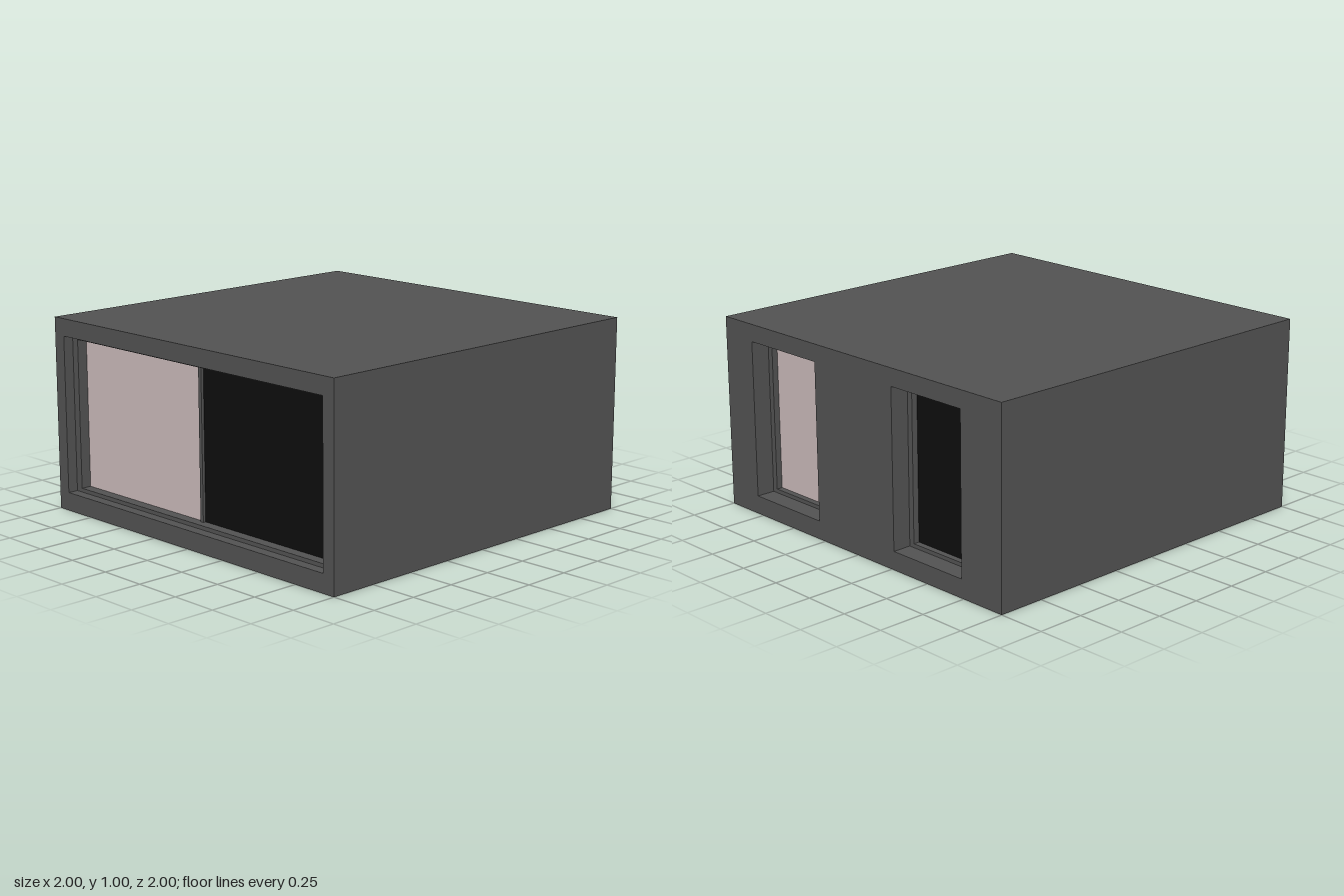
import * as THREE from 'three';

const wallGrey = new THREE.MeshStandardMaterial({ color: 0x525252 });
wallGrey.name = 'wall grey';
const palePink = new THREE.MeshStandardMaterial({ color: 0xc8b8b8 });
palePink.name = 'pale pink glass';
const black = new THREE.MeshStandardMaterial({ color: 0x0d0d0d });
black.name = 'black glass';

// Shared height of every opening
const BOTTOM = 0.095, TOP = 0.91;

function addMesh(parent, name, geometry, material) {
  const mesh = new THREE.Mesh(geometry, material);
  mesh.name = name;
  parent.add(mesh);
  return mesh;
}

// Box given by its limits on each axis
function block(parent, name, material, [x0, x1], [y0, y1], [z0, z1]) {
  const mesh = addMesh(parent, name, new THREE.BoxGeometry(x1 - x0, y1 - y0, z1 - z0), material);
  mesh.position.set((x0 + x1) / 2, (y0 + y1) / 2, (z0 + z1) / 2);
  return mesh;
}

function trace(path, x0, x1, y0, y1) {
  path.moveTo(x0, y0).lineTo(x1, y0).lineTo(x1, y1).lineTo(x0, y1).closePath();
  return path;
}

// Rectangular ring extruded from z0 to z1
function ring(parent, name, material, outer, inner, z0, z1) {
  const shape = trace(new THREE.Shape(), ...outer);
  shape.holes.push(trace(new THREE.Path(), ...inner));
  const geometry = new THREE.ExtrudeGeometry(shape, { depth: z1 - z0, bevelEnabled: false });
  geometry.translate(0, 0, z0);
  return addMesh(parent, name, geometry, material);
}

export function createModel() {
  const model = new THREE.Group();
  model.name = 'room';

  // Roof, floor and side walls as one open-ended shell
  ring(model, 'shell', wallGrey, [-1, 1, 0, 1], [-0.93, 0.93, BOTTOM, TOP], -1, 1);

  // Back wall piers, leaving two tall openings
  for (const x of [[-0.93, -0.735], [-0.265, 0.295], [0.79, 0.93]]) {
    block(model, 'backPier', wallGrey, x, [BOTTOM, TOP], [-1, -0.84]);
  }

  // Wide front window: recessed frame, mullion and two panes
  const front = new THREE.Group();
  front.name = 'frontWindow';
  model.add(front);
  const glassY = [0.115, 0.89];
  ring(front, 'frontFrame', wallGrey, [-0.93, 0.93, BOTTOM, TOP], [-0.89, 0.887, ...glassY], 0.87, 0.945);
  block(front, 'frontMullion', wallGrey, [-0.012, 0.008], glassY, [0.87, 0.905]);
  block(front, 'frontPinkPane', palePink, [-0.89, -0.012], glassY, [0.882, 0.89]);
  block(front, 'frontBlackPane', black, [0.008, 0.887], glassY, [0.882, 0.89]);

  // Two tall back windows, set deeper in the wall
  for (const [name, x0, x1, glass] of [
    ['backPinkWindow', 0.295, 0.79, palePink],
    ['backBlackWindow', -0.735, -0.265, black],
  ]) {
    const win = new THREE.Group();
    win.name = name;
    model.add(win);
    const gx = [x0 + 0.03, x1 - 0.03];
    ring(win, 'backFrame', wallGrey, [x0, x1, BOTTOM, TOP], [...gx, ...glassY], -0.9, -0.85);
    block(win, 'backPane', glass, gx, glassY, [-0.868, -0.86]);
  }

  return model;
}
